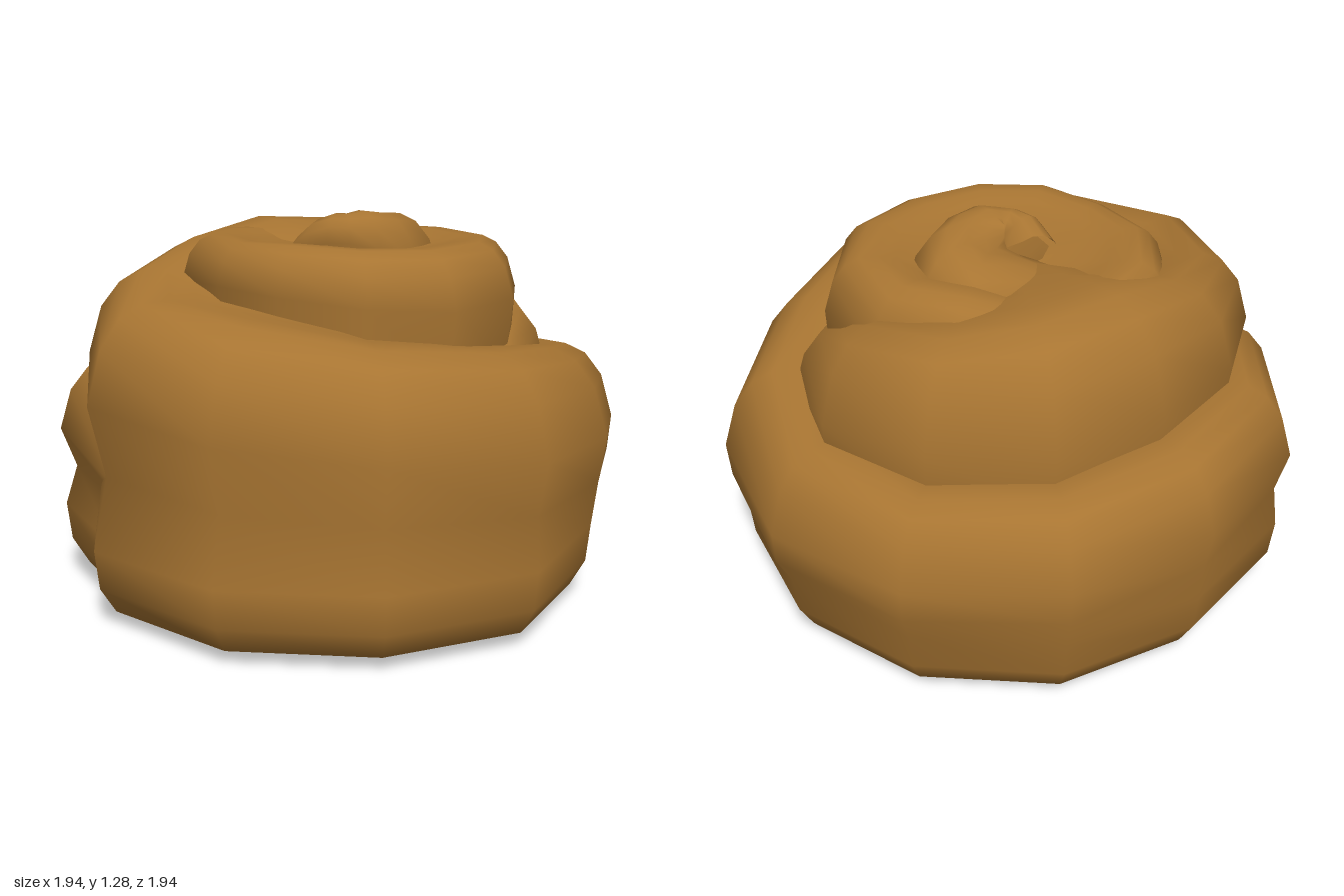
import * as THREE from 'three';

// Each strip of dough winds clockwise from a start angle, one key per 30 degrees:
// [outer radius, crest height, shoulder width]
const STRIPS = [
  {
    name: 'centreCurl', start: 220, base: () => 0.6,
    keys: [
      [.20, 1.20, .07], [.18, 1.25, .07], [.15, 1.27, .06], [.16, 1.27, .06],
      [.20, 1.28, .08], [.26, 1.27, .11], [.33, 1.26, .14], [.38, 1.24, .15],
      [.38, 1.22, .15], [.34, 1.20, .15], [.28, 1.17, .12],
    ],
  },
  {
    name: 'upperTier', start: -50, base: () => 0.3,
    keys: [
      [.50, 1.12, .12], [.57, 1.17, .12], [.57, 1.19, .11], [.55, 1.20, .10],
      [.51, 1.20, .09], [.53, 1.21, .10], [.56, 1.20, .11], [.58, 1.19, .12],
      [.60, 1.19, .12], [.60, 1.18, .12], [.55, 1.18, .12], [.50, 1.18, .12],
      [.45, 1.12, .12],
    ],
  },
  {
    name: 'outerWrap', start: 130, base: (i) => (i < 8 ? 0.2 : 0),
    keys: [
      // emerging ledge and middle tier
      [.50, .80, .12], [.60, .87, .12], [.66, .89, .13], [.72, .95, .16],
      [.76, 1.09, .19], [.76, 1.13, .20], [.76, 1.18, .22], [.74, 1.20, .22],
      [.78, 1.15, .20],
      // full-height outer wall
      [.87, 1.08, .18], [.99, 1.04, .20], [1.0, 1.02, .21], [.99, .96, .20],
      [1.0, .92, .20], [.93, .86, .19], [.97, .79, .18], [.98, .74, .17],
      [.99, .73, .16], [.99, .75, .16], [.97, .78, .16], [1.0, .80, .16],
      // tucked-in end
      [.98, .78, .16], [.92, .72, .16],
    ],
  },
];

// Cross-section at one step: bottom, side wall, rounded shoulder, crest, top
function section([R, H, w], angle, base) {
  const a = THREE.MathUtils.degToRad(angle);
  const low = R - 0.03 * (1 + Math.cos(a));
  const mid = R - 0.03 + 0.025 * Math.cos(a);
  const profile = [
    [0, base],
    [low * 0.83, base + 0.01],
    [low * 0.93, base + 0.05],
    [low * 0.985, base + 0.14],
    [low, base + 0.27],
    [mid, (base + 0.27 + H - w * 1.5) / 2],
    [R, H - w * 1.5],
    [R - w * 0.25, H - w * 0.65],
    [R - w * 0.6, H - w * 0.2],
    [R - w, H],
    [R - w * 1.5, H],
    [R - w * 2, H - 0.015],
    [R - w * 2.7, H - 0.03],
    [R - w * 4, H - 0.04],
  ];
  return profile.map(([r, y]) => {
    const q = Math.max(r, 0);
    return [q * Math.cos(a), y, q * Math.sin(a)];
  });
}

// Skin one strip through its cross-sections
function stripGeometry({ start, base, keys }) {
  const sections = keys.map((key, i) => section(key, start - 30 * i, base(i)));
  const n = sections[0].length;
  const index = [];
  for (let i = 0; i < sections.length - 1; i++) {
    for (let j = 0; j < n - 1; j++) {
      const p = i * n + j, q = p + n;
      index.push(p, q, p + 1, q, q + 1, p + 1);
    }
  }
  const geo = new THREE.BufferGeometry();
  geo.setAttribute('position', new THREE.Float32BufferAttribute(sections.flat(2), 3));
  geo.setIndex(index);
  geo.computeVertexNormals();
  return geo;
}

export function createModel() {
  const group = new THREE.Group();
  group.name = 'spiralBun';
  const dough = new THREE.MeshStandardMaterial({ color: 0xa87532, side: THREE.DoubleSide });
  dough.name = 'bakedDough';
  for (const strip of STRIPS) {
    const mesh = new THREE.Mesh(stripGeometry(strip), dough);
    mesh.name = strip.name;
    group.add(mesh);
  }
  return group;
}
